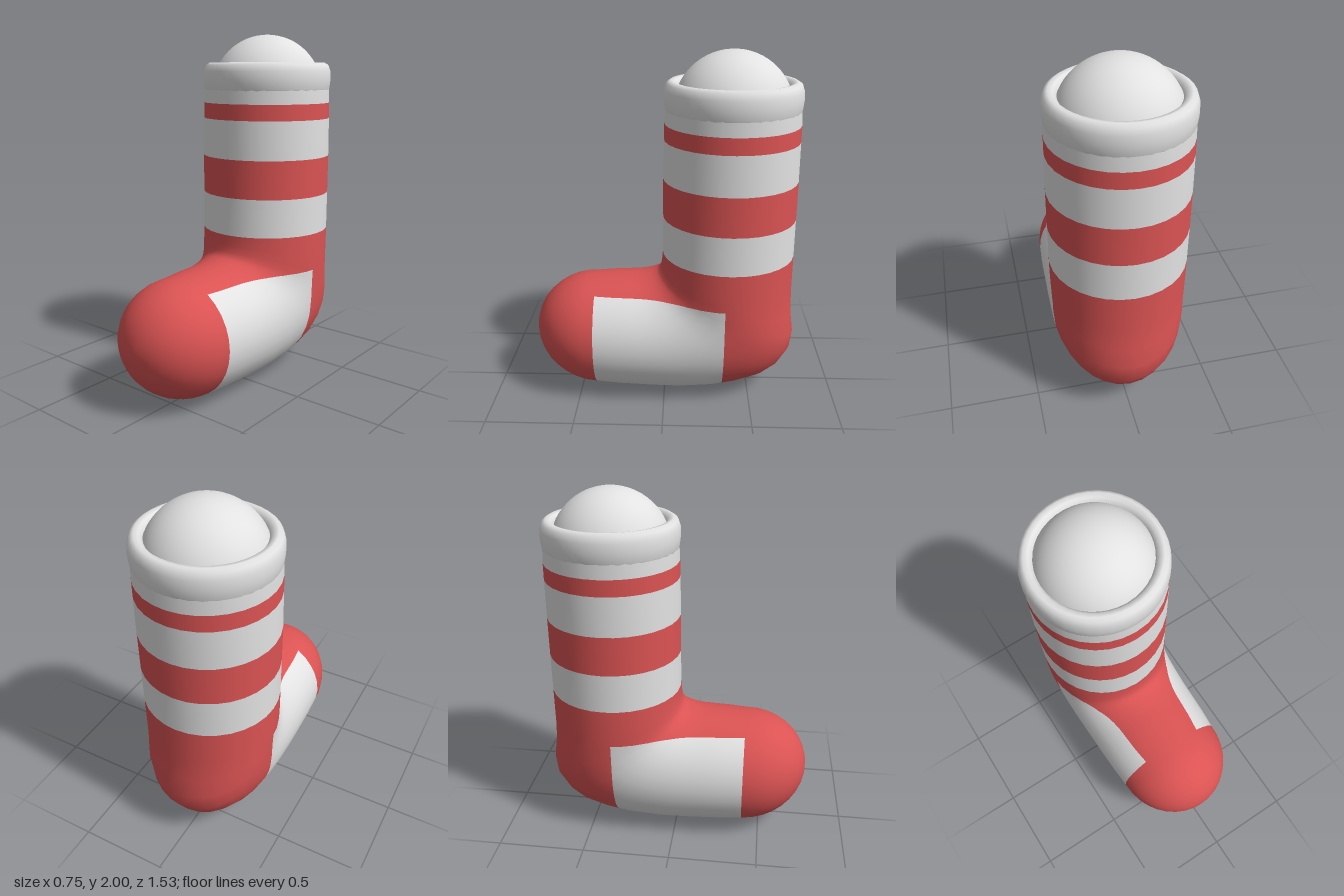
import * as THREE from 'three';

const SIDES = 32;
const LEG_Z = -0.367;

// Cross-sections down the leg, fanned round the heel and along the foot:
// [front y, front z, back y, back z, half width]
const SECTIONS = [
  [1.70, 0.0, 1.70, -0.735, 0.368],
  [1.60, 0.005, 1.60, -0.74, 0.372],
  [1.30, 0.01, 1.30, -0.742, 0.376],
  [0.86, 0.012, 0.86, -0.742, 0.376],
  [0.80, 0.017, 0.64, -0.742, 0.375],
  [0.765, 0.024, 0.50, -0.748, 0.372],
  [0.745, 0.035, 0.38, -0.765, 0.369],
  [0.735, 0.05, 0.27, -0.752, 0.366],
  [0.727, 0.07, 0.17, -0.69, 0.364],
  [0.722, 0.09, 0.10, -0.60, 0.362],
  [0.717, 0.11, 0.05, -0.46, 0.36],
  [0.713, 0.135, 0.02, -0.32, 0.357],
  [0.71, 0.16, 0.003, -0.12, 0.353],
  [0.707, 0.21, 0.006, 0.06, 0.35],
  [0.703, 0.3, 0.014, 0.25, 0.345],
  [0.695, 0.4, 0.025, 0.4, 0.336],
];

// Rounded toe closes the tube
for (let k = 1; k <= 9; k++) {
  const a = (k / 9) * Math.PI / 2;
  const r = Math.cos(a), z = 0.4 + 0.365 * Math.sin(a), y = 0.36 + 0.015 * Math.sin(a);
  SECTIONS.push([y + 0.335 * r, z, y - 0.335 * r, z, 0.336 * r]);
}

function sockTube() {
  const pos = [], index = [], last = SECTIONS.length - 1;
  for (const [fy, fz, by, bz, w] of SECTIONS) {
    for (let j = 0; j < SIDES; j++) {
      const t = (j / SIDES) * Math.PI * 2, c = Math.cos(t) / 2;
      pos.push(w * Math.sin(t), (fy + by) / 2 + c * (fy - by), (fz + bz) / 2 + c * (fz - bz));
    }
  }
  const id = (i, j) => i * SIDES + (i === last ? 0 : j % SIDES);
  for (let i = 0; i < last; i++) {
    for (let j = 0; j < SIDES; j++) {
      const a = id(i, j), b = id(i + 1, j), c = id(i + 1, j + 1), d = id(i, j + 1);
      index.push(a, b, d);
      if (i < last - 1) index.push(b, c, d);
    }
  }
  const g = new THREE.BufferGeometry();
  g.setAttribute('position', new THREE.Float32BufferAttribute(pos, 3));
  g.setIndex(index);
  g.computeVertexNormals();
  return g.toNonIndexed();
}

// Cut triangles (vertices are [position, normal]) where an axis crosses a value
function cut(tris, axis, value) {
  const out = [];
  for (const tri of tris) {
    for (const sign of [1, -1]) {
      const poly = [];
      for (let i = 0; i < 3; i++) {
        const a = tri[i], b = tri[(i + 1) % 3];
        const da = sign * (a[axis] - value), db = sign * (b[axis] - value);
        if (da >= 0) poly.push(a);
        if (da * db < 0) poly.push(a.map((v, k) => v + (b[k] - v) * da / (da - db)));
      }
      const flat = poly.every((v) => Math.abs(v[axis] - value) < 1e-9);
      if (flat && sign < 0) continue;
      for (let i = 1; i + 1 < poly.length; i++) out.push([poly[0], poly[i], poly[i + 1]]);
    }
  }
  return out;
}

// Which knitted band a point belongs to
function bandAt(y, z) {
  if (y > 1.61) return 'topBand';
  if (y > 1.52) return 'upperRedStripe';
  if (y > 1.30) return 'upperWhiteStripe';
  if (y > 1.08) return 'middleRedStripe';
  if (y > 0.86) return 'lowerWhiteStripe';
  if (z > 0.4) return 'toe';
  if (y < 0.64 && z > -0.34) return 'footBand';
  return 'heelAndInstep';
}

export function createModel() {
  const group = new THREE.Group();
  group.name = 'sock';
  const red = new THREE.MeshStandardMaterial({ color: 0xdb5353 });
  red.name = 'red wool';
  const white = new THREE.MeshStandardMaterial({ color: 0xe2e2e2 });
  white.name = 'white wool';
  const add = (name, geometry, material) => {
    const mesh = new THREE.Mesh(geometry, material);
    mesh.name = name;
    group.add(mesh);
    return mesh;
  };

  // Striped leg and foot
  const tube = sockTube();
  const p = tube.attributes.position.array, n = tube.attributes.normal.array;
  let tris = [];
  for (let i = 0; i < p.length; i += 9) {
    tris.push([0, 3, 6].map((k) => [...p.slice(i + k, i + k + 3), ...n.slice(i + k, i + k + 3)]));
  }
  for (const y of [0.64, 0.86, 1.08, 1.30, 1.52, 1.61]) tris = cut(tris, 1, y);
  for (const z of [-0.34, 0.4]) tris = cut(tris, 2, z);

  const bands = {};
  for (const t of tris) {
    const mid = (k) => (t[0][k] + t[1][k] + t[2][k]) / 3;
    (bands[bandAt(mid(1), mid(2))] ??= []).push(...t);
  }
  const whiteBands = ['topBand', 'upperWhiteStripe', 'lowerWhiteStripe', 'footBand'];
  for (const [name, verts] of Object.entries(bands)) {
    const g = new THREE.BufferGeometry();
    g.setAttribute('position', new THREE.Float32BufferAttribute(verts.flatMap((v) => v.slice(0, 3)), 3));
    g.setAttribute('normal', new THREE.Float32BufferAttribute(verts.flatMap((v) => v.slice(3)), 3));
    add(name, g, whiteBands.includes(name) ? white : red);
  }

  // Rolled cuff
  const profile = [
    [0.335, 1.655], [0.358, 1.664], [0.37, 1.69], [0.376, 1.74], [0.374, 1.79],
    [0.362, 1.825], [0.34, 1.839], [0.315, 1.834], [0.297, 1.81], [0.28, 1.76],
  ].map(([x, y]) => new THREE.Vector2(x, y));
  add('cuff', new THREE.LatheGeometry(profile, 40), white).position.z = LEG_Z;

  // Domed filling in the opening
  const dome = new THREE.SphereGeometry(0.328, 40, 14, 0, Math.PI * 2, 0, 1.35);
  add('dome', dome, white).position.set(0, 1.672, LEG_Z);

  return group;
}
